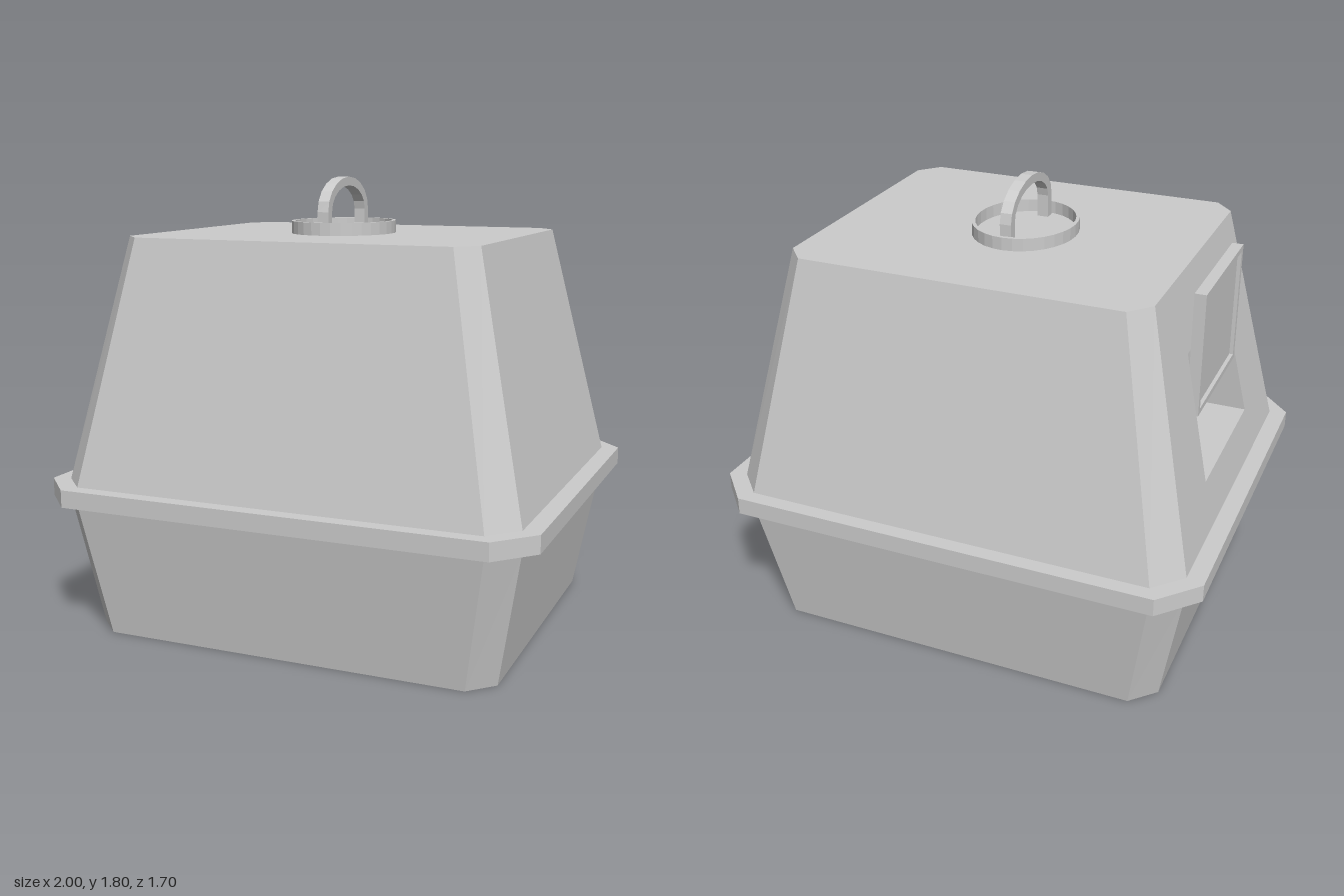
import * as THREE from 'three';

const mat = new THREE.MeshStandardMaterial({ color: 0xcccccc, flatShading: true });
const thinMat = new THREE.MeshStandardMaterial({ color: 0xcccccc, flatShading: true, side: THREE.DoubleSide });

// Rectangle with cut corners: half sizes hx, hz; straight edges end at cx, cz
function ring(y, hx, hz, cx, cz) {
  return [[hx, cz], [cx, hz], [-cx, hz], [-hx, cz], [-hx, -cz], [-cx, -hz], [cx, -hz], [hx, -cz]]
    .map(([x, z]) => new THREE.Vector3(x, y, z));
}

function fromPoints(points) {
  const geo = new THREE.BufferGeometry().setFromPoints(points);
  geo.computeVertexNormals();
  return geo;
}

// Closed solid between two rings; one side may be left out
function loft(low, high, skip = -1) {
  const pts = [];
  const n = low.length;
  for (let i = 0; i < n; i++) {
    const j = (i + 1) % n;
    if (i !== skip) pts.push(low[i], high[i], low[j], low[j], high[i], high[j]);
    if (i > 0 && i < n - 1) pts.push(high[0], high[j], high[i], low[0], low[i], low[j]);
  }
  return fromPoints(pts);
}

export function createModel() {
  const model = new THREE.Group();
  const add = (name, geo, material = mat) => {
    const mesh = new THREE.Mesh(geo, material);
    mesh.name = name;
    model.add(mesh);
    return mesh;
  };

  // Lower tub and rim
  add('base', loft(ring(0, 0.835, 0.705, 0.74, 0.61), ring(0.53, 0.93, 0.79, 0.825, 0.68)));
  add('rim', loft(ring(0.545, 1, 0.85, 0.86, 0.7), ring(0.615, 1, 0.85, 0.86, 0.7)));

  // Tapered hood, without the wall that holds the doorway
  const y0 = 0.615, y1 = 1.58;
  add('hood', loft(ring(y0, 0.93, 0.79, 0.825, 0.68), ring(y1, 0.715, 0.61, 0.64, 0.525), 3));

  // Sloping wall with doorway, drawn in (z, y) and leaned inward
  const wallX = (y) => -0.93 + 0.215 * (y - y0) / (y1 - y0);
  const opening = [[-0.312, 0.8], [0.312, 0.8], [0.275, 1.3], [-0.275, 1.3]];
  const toPoints = (list) => list.map(([a, b]) => new THREE.Vector2(a, b));
  const wallShape = new THREE.Shape(toPoints([[-0.68, y0], [0.68, y0], [0.525, y1], [-0.525, y1]]));
  wallShape.holes.push(new THREE.Path(toPoints(opening)));
  const wall = new THREE.ShapeGeometry(wallShape);
  const pos = wall.attributes.position;
  for (let i = 0; i < pos.count; i++) {
    const z = pos.getX(i), y = pos.getY(i);
    pos.setXYZ(i, wallX(y), y, z);
  }
  wall.computeVertexNormals();
  add('doorWall', wall, thinMat);

  // Recess behind the doorway
  const outer = opening.map(([z, y]) => new THREE.Vector3(wallX(y), y, z));
  const inner = opening.map(([z, y]) => new THREE.Vector3(-0.45, y, z));
  const recess = [inner[0], inner[1], inner[2], inner[0], inner[2], inner[3]];
  for (let i = 0; i < 4; i++) {
    const j = (i + 1) % 4;
    recess.push(outer[i], outer[j], inner[j], outer[i], inner[j], inner[i]);
  }
  add('doorwayRecess', fromPoints(recess), thinMat);

  // Upright door flap: frame and inset panel
  const rect = (T, w, h) => new T(toPoints([[-w, -h], [w, -h], [w, h], [-w, h]]));
  const frameShape = rect(THREE.Shape, 0.275, 0.245);
  frameShape.holes.push(rect(THREE.Path, 0.252, 0.222));
  const frame = new THREE.ExtrudeGeometry(frameShape, { depth: 0.045, bevelEnabled: false });
  frame.rotateY(Math.PI / 2);
  add('doorFrame', frame).position.set(-0.832, 1.295, 0);
  add('doorPanel', new THREE.BoxGeometry(0.03, 0.46, 0.52)).position.set(-0.802, 1.295, 0);

  // Oval collar on the roof
  const collarShape = new THREE.Shape().absellipse(0, 0, 0.207, 0.242, 0, Math.PI * 2);
  collarShape.holes.push(new THREE.Path().absellipse(0, 0, 0.193, 0.226, 0, Math.PI * 2));
  const collar = new THREE.ExtrudeGeometry(collarShape, { depth: 0.05, bevelEnabled: false, curveSegments: 16 });
  collar.rotateX(-Math.PI / 2);
  add('roofCollar', collar).position.set(-0.025, 1.58, 0);

  // Arched carrying handle
  const arch = (rz, ry) => {
    const pts = [];
    for (let i = 0; i <= 10; i++) {
      const a = Math.PI * i / 10;
      pts.push([rz * Math.cos(a), 0.09 + ry * Math.sin(a)]);
    }
    return [[rz, 0], ...pts, [-rz, 0]];
  };
  const handleShape = new THREE.Shape(toPoints([...arch(0.21, 0.135), ...arch(0.172, 0.1).reverse()]));
  const handle = new THREE.ExtrudeGeometry(handleShape, { depth: 0.046, bevelEnabled: false });
  handle.rotateY(Math.PI / 2);
  add('handle', handle).position.set(-0.05, 1.58, 0);

  return model;
}
